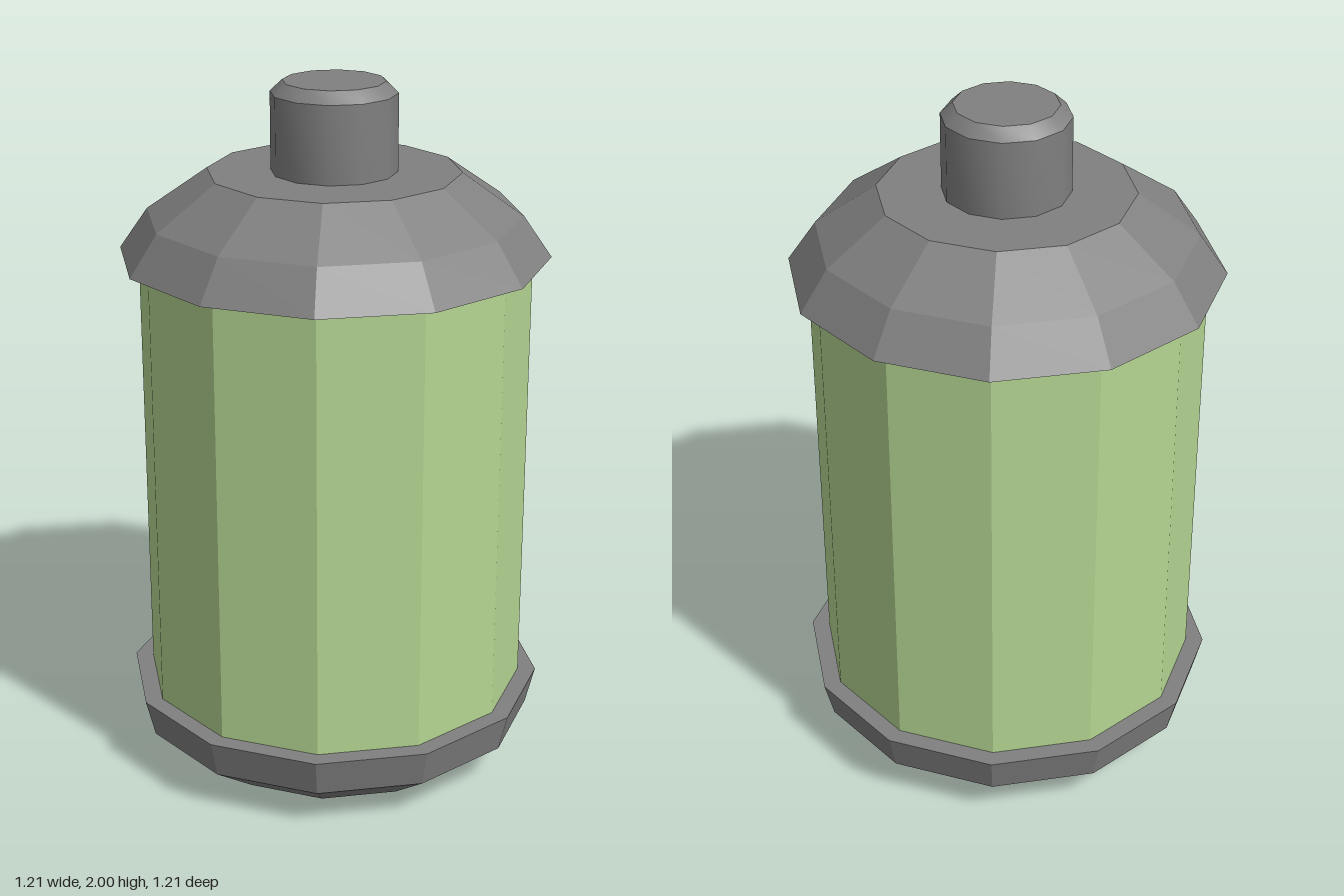
import * as THREE from 'three';
import { toCreasedNormals } from 'three/addons/utils/BufferGeometryUtils.js';

const SIDES = 12;

// Revolves a bottom-to-top profile of [radius, height] pairs
function turned(name, profile, material) {
  const points = profile.map(([r, y]) => new THREE.Vector2(r, y));
  const mesh = new THREE.Mesh(new THREE.LatheGeometry(points, SIDES), material);
  mesh.name = name;
  return mesh;
}

export function createModel() {
  const group = new THREE.Group();
  group.name = 'canister';

  const metal = new THREE.MeshStandardMaterial({ color: 0x808080, flatShading: true });
  const smoothMetal = new THREE.MeshStandardMaterial({ color: 0x808080 });
  const green = new THREE.MeshStandardMaterial({ color: 0xb5d692, flatShading: true });

  // Base cup with a chamfered foot
  group.add(turned('baseCap',
    [[0, 0], [0.42, 0], [0.58, 0.115], [0.607, 0.225], [0, 0.225]], metal));

  // Faceted tank between the caps
  group.add(turned('body', [[0.555, 0.225], [0.555, 1.515]], green));

  // Domed lid overhanging the tank
  group.add(turned('topCap',
    [[0, 1.515], [0.607, 1.515], [0.527, 1.63], [0.355, 1.75], [0, 1.75]], metal));

  // Rounded valve knob with a bevelled top
  const knob = turned('valveKnob',
    [[0.177, 1.75], [0.177, 1.968], [0.143, 2], [0, 2]], smoothMetal);
  knob.geometry = toCreasedNormals(knob.geometry, 0.6);
  group.add(knob);

  return group;
}
